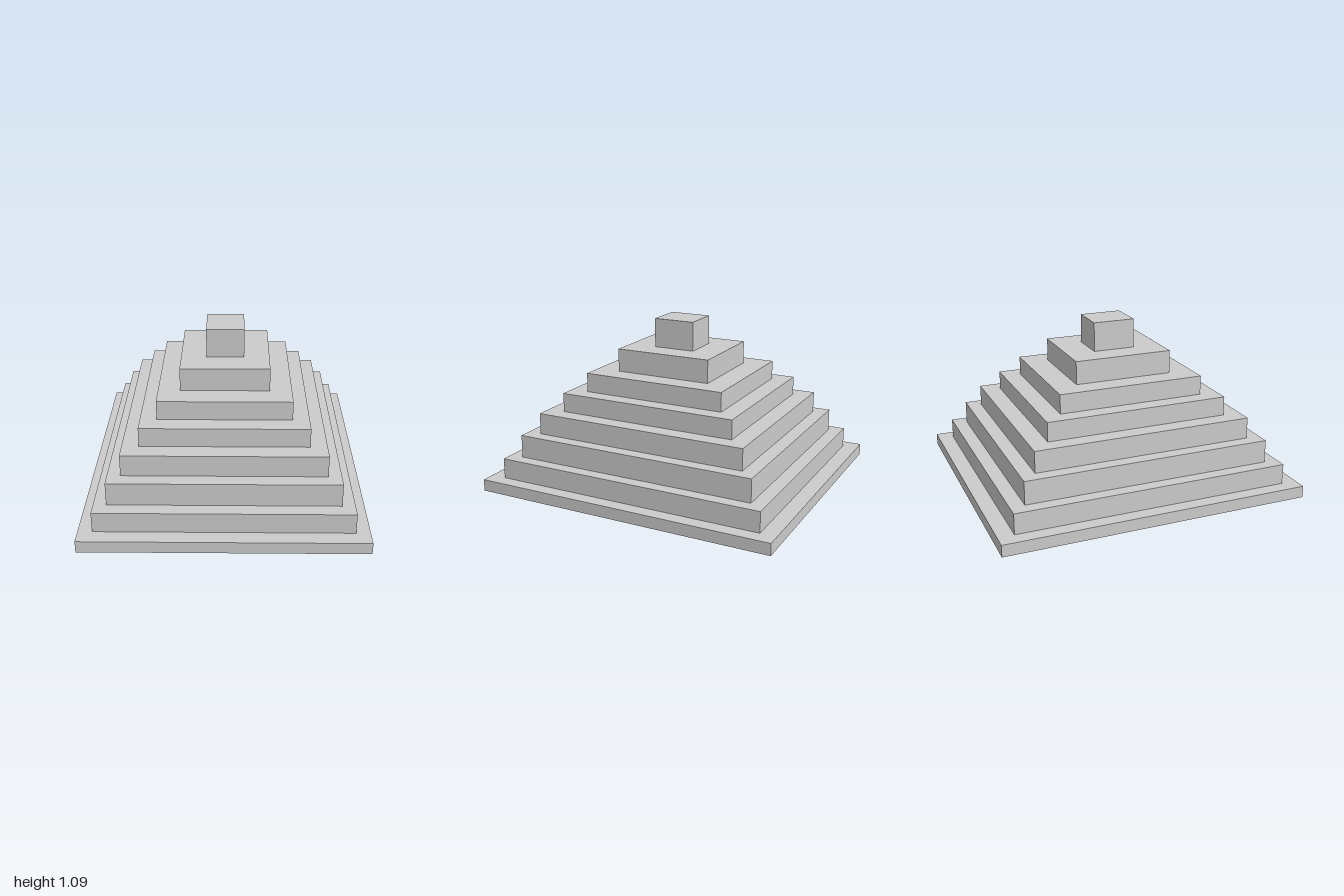
import * as THREE from 'three';

// Each tier: half width (x), half depth (z), top height
const TIERS = [
  [0.886, 1.0, 0.077],
  [0.797, 0.898, 0.21],
  [0.716, 0.807, 0.36],
  [0.633, 0.714, 0.499],
  [0.527, 0.597, 0.623],
  [0.422, 0.478, 0.747],
  [0.283, 0.321, 0.897],
  [0.121, 0.137, 1.086],
];

export function createModel() {
  const group = new THREE.Group();
  group.name = 'steppedPyramid';
  const material = new THREE.MeshStandardMaterial({ color: 0xcccccc, flatShading: true });

  // Stack the tiers, each standing on the one below
  let bottom = 0;
  TIERS.forEach(([halfX, halfZ, top], i) => {
    const height = top - bottom;
    const tier = new THREE.Mesh(new THREE.BoxGeometry(2 * halfX, height, 2 * halfZ), material);
    tier.name = i === 0 ? 'basePlinth' : i === TIERS.length - 1 ? 'topBlock' : `tier${i}`;
    tier.position.y = bottom + height / 2;
    group.add(tier);
    bottom = top;
  });

  return group;
}
